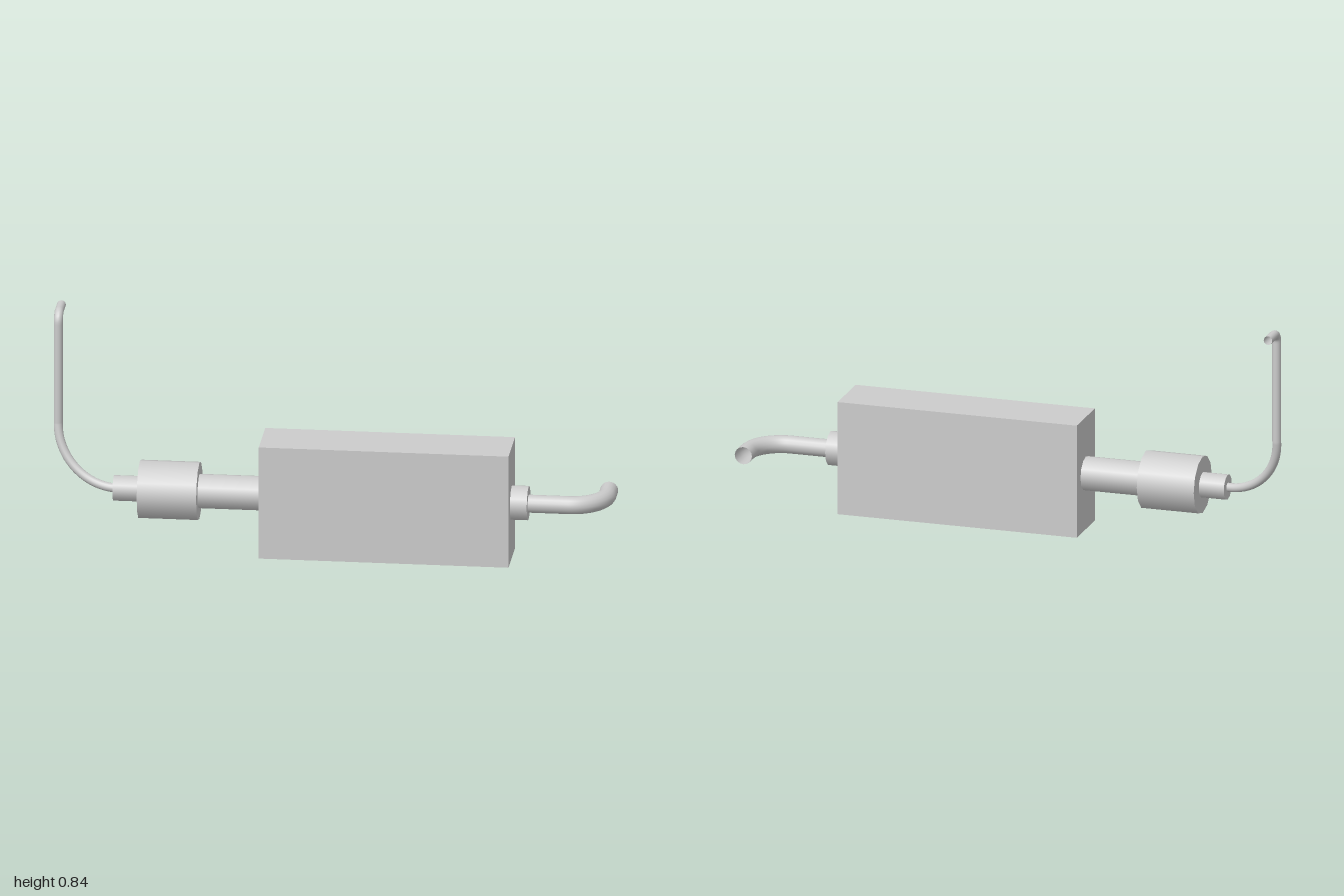
import * as THREE from 'three';

const AXIS_Y = 0.209, AXIS_Z = 0.035;
const metal = new THREE.MeshStandardMaterial({ color: 0xcccccc });
const pipeMetal = new THREE.MeshStandardMaterial({ color: 0xcccccc, side: THREE.DoubleSide });
const v = (x, y, z) => new THREE.Vector3(x, y, z);

export function createModel() {
  const group = new THREE.Group();

  const add = (name, geometry, material = metal) => {
    const mesh = new THREE.Mesh(geometry, material);
    mesh.name = name;
    group.add(mesh);
    return mesh;
  };

  // Twelve-sided cylinder lying along x between x0 and x1
  const sleeve = (name, x0, x1, radius) => {
    const geometry = new THREE.CylinderGeometry(radius, radius, x1 - x0, 12);
    geometry.rotateZ(Math.PI / 2);
    add(name, geometry).position.set((x0 + x1) / 2, AXIS_Y, AXIS_Z);
  };

  // Open-ended round pipe swept along a chain of curves
  const pipe = (name, curves, radius, segments) => {
    const path = new THREE.CurvePath();
    curves.forEach((c) => path.add(c));
    add(name, new THREE.TubeGeometry(path, segments, radius, 16), pipeMetal);
  };

  // Quarter bend from a to b, rounding the given corner
  const bend = (a, corner, b) => new THREE.CubicBezierCurve3(
    a, a.clone().lerp(corner, 0.5523), b.clone().lerp(corner, 0.5523), b);

  // Main box
  add('mufflerBox', new THREE.BoxGeometry(0.89, 0.417, 0.21)).position.set(0.195, AXIS_Y, AXIS_Z);

  // Coaxial sleeves on both sides of the box
  sleeve('outletCollar', 0.63, 0.70, 0.062);
  sleeve('connectingTube', -0.48, -0.24, 0.062);
  sleeve('canister', -0.685, -0.473, 0.105);
  sleeve('inletCollar', -0.778, -0.68, 0.046);

  // Thick pipe turning to the back
  const a = v(0.845, 0.207, AXIS_Z), b = v(0.968, 0.207, -0.088);
  pipe('outletPipe', [
    new THREE.LineCurve3(v(0.69, 0.207, AXIS_Z), a),
    bend(a, v(0.968, 0.207, AXIS_Z), b),
    new THREE.LineCurve3(b, v(0.968, 0.207, -0.14)),
  ], 0.032, 48);

  // Thin pipe sweeping upwards, then turning to the back
  const start = v(-0.775, AXIS_Y, AXIS_Z), riser = v(-0.984, 0.42, -0.039);
  const top = v(-0.984, 0.794, -0.039), back = v(-0.984, 0.828, -0.073);
  pipe('inletPipe', [
    bend(start, v(-0.984, AXIS_Y, -0.005), riser),
    new THREE.LineCurve3(riser, top),
    bend(top, v(-0.984, 0.828, -0.039), back),
    new THREE.LineCurve3(back, v(-0.984, 0.828, -0.14)),
  ], 0.016, 100);

  return group;
}
